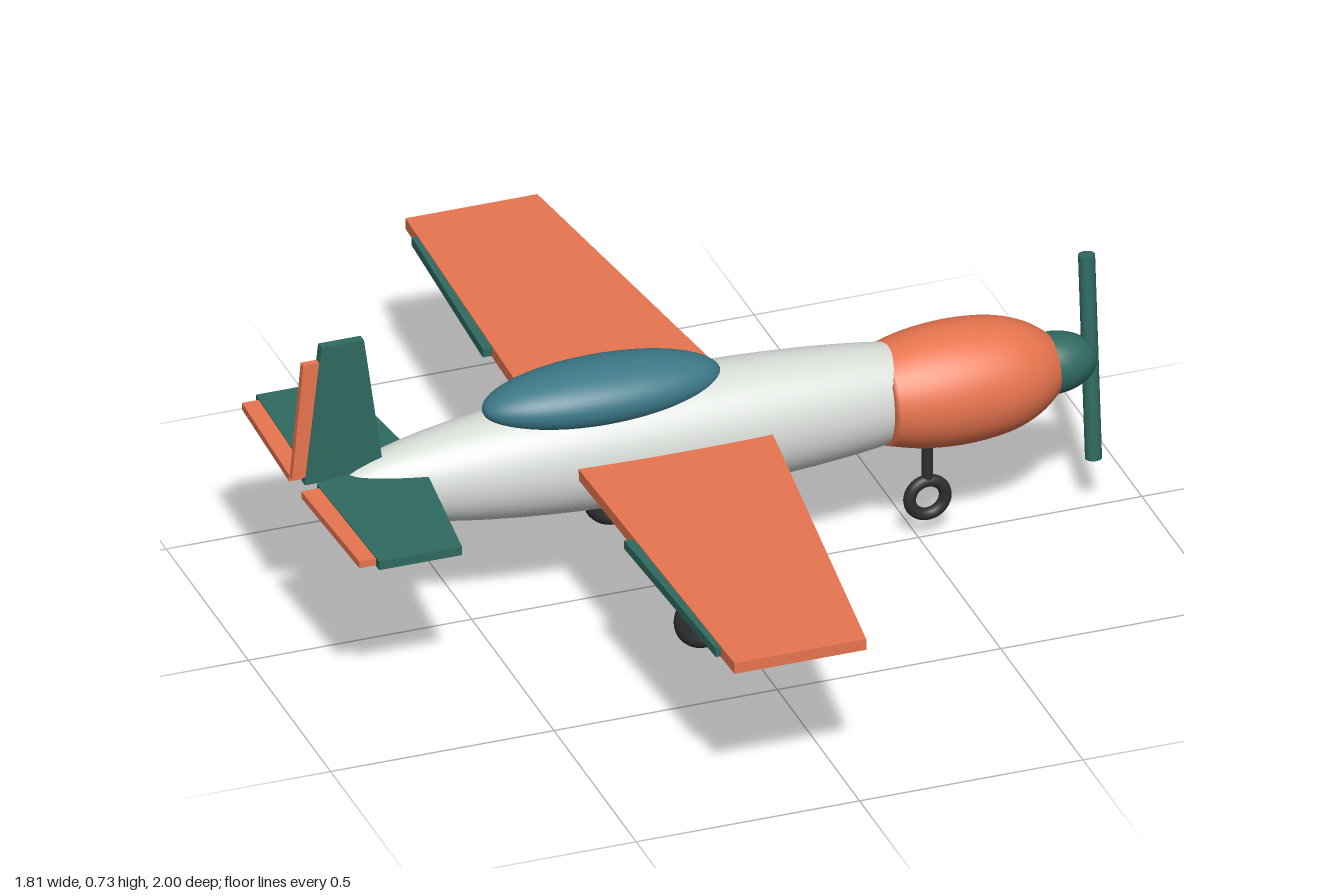
import * as THREE from 'three';

const mat = (color) => new THREE.MeshStandardMaterial({ color });

export function createModel() {
  const plane = new THREE.Group();
  plane.name = 'airplane';
  const white = mat(0xd8dcd7), orange = mat(0xe8754f), teal = mat(0x2f6a60);
  const glass = mat(0x3c7888), black = mat(0x2c2e30);
  const axisY = 0.372;

  const add = (name, geometry, material, x = 0, y = 0, z = 0) => {
    const mesh = new THREE.Mesh(geometry, material);
    mesh.name = name;
    mesh.position.set(x, y, z);
    plane.add(mesh);
    return mesh;
  };
  const ellipsoid = (rx, ry, rz) => new THREE.SphereGeometry(1, 48, 32).rotateZ(-Math.PI / 2).scale(rx, ry, rz);
  const outline = (pts) => new THREE.Shape(pts.map(([a, b]) => new THREE.Vector2(a, b)));
  // Flat panel from [x, z] corners, centred on height y
  const panel = (name, pts, y, thick, material) => {
    const g = new THREE.ExtrudeGeometry(outline(pts.map(([x, z]) => [x, -z])), { depth: thick, bevelEnabled: false });
    return add(name, g.rotateX(-Math.PI / 2), material, 0, y - thick / 2);
  };
  // Upright panel from [x, y] corners, centred on z = 0
  const upright = (name, pts, thick, material) =>
    add(name, new THREE.ExtrudeGeometry(outline(pts), { depth: thick, bevelEnabled: false }), material, 0, 0, -thick / 2);
  // Round strut between two points
  const strut = (name, a, b, r) => {
    const from = new THREE.Vector3(...a), to = new THREE.Vector3(...b);
    const dir = to.clone().sub(from);
    const mesh = add(name, new THREE.CylinderGeometry(r, r, dir.length(), 16), black);
    mesh.position.copy(from).add(to).multiplyScalar(0.5);
    mesh.quaternion.setFromUnitVectors(new THREE.Vector3(0, 1, 0), dir.normalize());
    return mesh;
  };

  // Body
  add('fuselage', ellipsoid(0.77, 0.14, 0.128), white, -0.05, axisY);
  add('canopy', ellipsoid(0.265, 0.068, 0.1), glass, -0.21, 0.503);

  // Engine cowl, turned about the long axis
  const cowlCurve = new THREE.SplineCurve([[0.108, 0.41], [0.127, 0.49], [0.134, 0.585],
    [0.125, 0.68], [0.1, 0.75], [0.064, 0.8]].map(([r, x]) => new THREE.Vector2(r, x)));
  const cowlProfile = [new THREE.Vector2(0, 0.41), ...cowlCurve.getPoints(24), new THREE.Vector2(0, 0.8)];
  add('cowl', new THREE.LatheGeometry(cowlProfile, 48).rotateZ(-Math.PI / 2), orange, 0, 0.367);

  // Spinner and propeller
  add('spinner', ellipsoid(0.1, 0.067, 0.067), teal, 0.797, 0.369);
  const propeller = add('propeller', new THREE.CylinderGeometry(0.018, 0.018, 0.472, 20), teal, 0.884, 0.368);
  propeller.rotation.x = -0.09;

  // Wing in one piece
  panel('wing', [[0.145, 0], [0.015, 1], [-0.28, 1], [-0.308, 0], [-0.28, -1], [0.015, -1]], 0.381, 0.026, orange);

  for (const s of [1, -1]) {
    const side = s > 0 ? 'right' : 'left';
    const mirror = (pts) => pts.map(([x, z]) => [x, z * s]);
    // Hinged surfaces and tailplane
    panel(side + 'Aileron', mirror([[-0.29, 0.43], [-0.317, 0.43], [-0.294, 0.925], [-0.276, 0.925]]), 0.381, 0.02, teal);
    panel(side + 'Stabiliser', mirror([[-0.615, 0], [-0.66, 0.375], [-0.845, 0.375], [-0.855, 0.022], [-0.78, 0]]), 0.405, 0.021, teal);
    panel(side + 'Elevator', mirror([[-0.853, 0.037], [-0.895, 0.037], [-0.883, 0.357], [-0.845, 0.357]]), 0.405, 0.016, orange);
    // Main landing gear
    strut(side + 'MainStrut', [0.022, 0.325, 0.095 * s], [-0.075, 0.118, 0.275 * s], 0.014);
    add(side + 'MainWheel', new THREE.TorusGeometry(0.0505, 0.0185, 16, 40), black, -0.08, 0.074, 0.277 * s);
  }

  // Fin and rudder
  upright('fin', [[-0.70, 0.41], [-0.745, 0.735], [-0.84, 0.735], [-0.877, 0.41]], 0.021, teal);
  upright('rudder', [[-0.865, 0.427], [-0.842, 0.698], [-0.88, 0.698], [-0.905, 0.427]], 0.016, orange);

  // Nose gear
  strut('noseStrut', [0.52, 0.142, 0], [0.52, 0.27, 0], 0.012);
  add('noseWheel', new THREE.TorusGeometry(0.04, 0.0135, 16, 36), black, 0.52, 0.099, 0);

  return plane;
}
